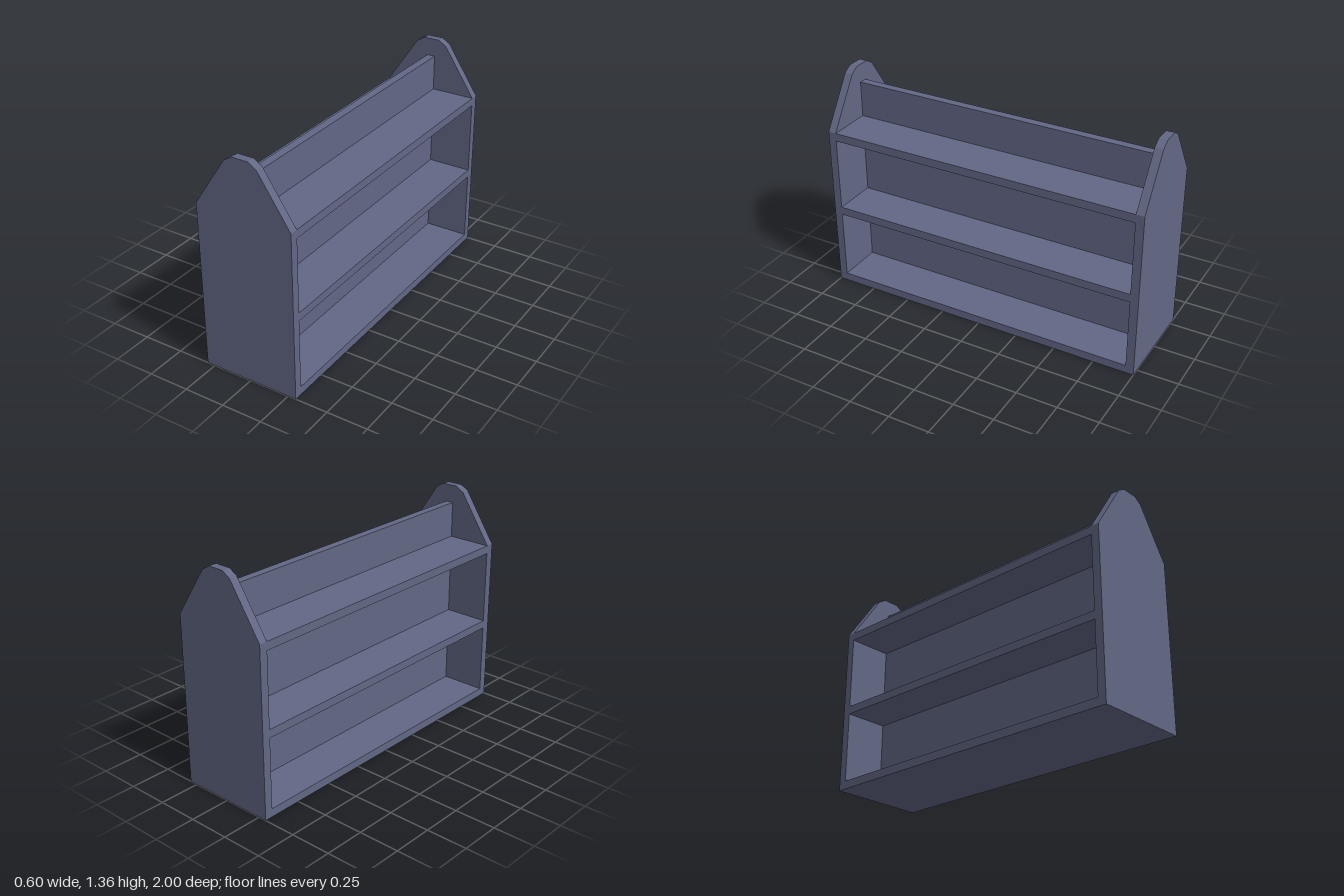
import * as THREE from 'three';

export function createModel() {
  const group = new THREE.Group();
  group.name = 'doubleSidedBookcase';
  const paint = new THREE.MeshStandardMaterial({ color: 0x626785 });
  paint.name = 'slate blue paint';

  const add = (name, geometry, x, y, z) => {
    const mesh = new THREE.Mesh(geometry, paint);
    mesh.name = name;
    mesh.position.set(x, y, z);
    group.add(mesh);
  };

  const thick = 0.05;
  const innerLength = 1.9;

  // End panels with a tapered, faceted crown
  const half = [[0.3, 0], [0.3, 1.03], [0.1, 1.33], [0.05, 1.36]];
  const mirrored = half.map(([x, y]) => [-x, y]).reverse();
  const outline = new THREE.Shape([...half, ...mirrored].map(([x, y]) => new THREE.Vector2(x, y)));
  const panel = new THREE.ExtrudeGeometry(outline, { depth: thick, bevelEnabled: false });
  add('frontEndPanel', panel, 0, 0, 0.95);
  add('backEndPanel', panel, 0, 0, -1);

  // Shelves running between the end panels
  const shelf = new THREE.BoxGeometry(0.6, thick, innerLength);
  ['bottomShelf', 'middleShelf', 'topShelf'].forEach((name, i) => {
    add(name, shelf, 0, [0, 0.48, 0.98][i] + thick / 2, 0);
  });

  // Central divider, in sections between and above the shelves
  [[0.05, 0.48], [0.53, 0.98], [1.03, 1.25]].forEach(([low, high], i) => {
    const divider = new THREE.BoxGeometry(thick, high - low, innerLength);
    add(['lowerDivider', 'middleDivider', 'upperDivider'][i], divider, 0, (low + high) / 2, 0);
  });

  return group;
}
